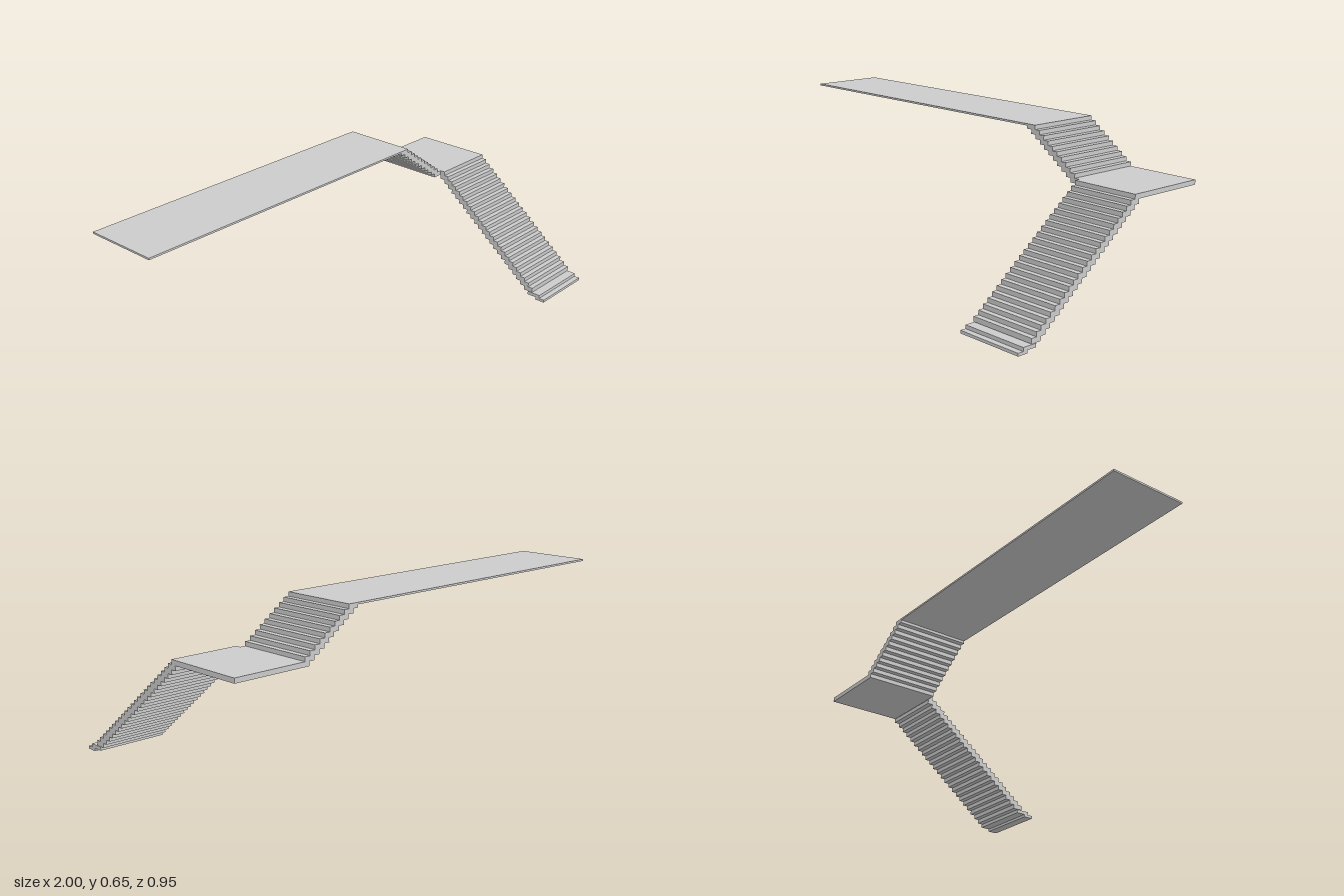
import * as THREE from 'three';

export function createModel() {
  const model = new THREE.Group();
  const material = new THREE.MeshStandardMaterial({ color: 0xcccccc, flatShading: true });

  // Box given by its limits on each axis
  function slab(parent, name, x0, x1, y0, y1, z0, z1) {
    const mesh = new THREE.Mesh(new THREE.BoxGeometry(x1 - x0, y1 - y0, z1 - z0), material);
    mesh.position.set((x0 + x1) / 2, (y0 + y1) / 2, (z0 + z1) / 2);
    mesh.name = name;
    parent.add(mesh);
  }

  const back = -0.475, inner = -0.14;   // walkway depth limits
  const side = 0.705;                   // inner side of landing and lower flight
  const landingTop = 0.477, deckTop = 0.655;
  const thick = 0.021, depth = 0.045;   // overlapping treads

  // Flat platforms
  slab(model, 'upperWalkway', -1, 0.463, deckTop - 0.008, deckTop, back, inner);
  slab(model, 'landing', side, 1, landingTop - 0.02, landingTop, back, inner);

  // Upper flight, descending along +x to the landing
  const upper = new THREE.Group();
  upper.name = 'upperFlight';
  for (let i = 0; i <= 10; i++) {
    const edge = 0.463 + 0.0242 * i;
    const top = deckTop - (deckTop - landingTop) * i / 10;
    slab(upper, 'upperTread', edge - depth, edge, top - 0.02, top, back, inner);
  }
  model.add(upper);

  // Lower flight, descending along +z to the ground
  const lower = new THREE.Group();
  lower.name = 'lowerFlight';
  slab(lower, 'bottomTread', side, 1, 0, 0.012, 0.43, 0.475);
  slab(lower, 'secondTread', side, 1, 0.012, 0.027, 0.387, 0.45);
  for (let i = 0; i <= 23; i++) {
    const front = 0.41 - 0.0229 * i;
    const top = 0.05 + (landingTop - 0.05) * i / 23;
    slab(lower, 'lowerTread', side, 1, top - thick, top, Math.max(front - depth, inner), front);
  }
  model.add(lower);

  return model;
}
